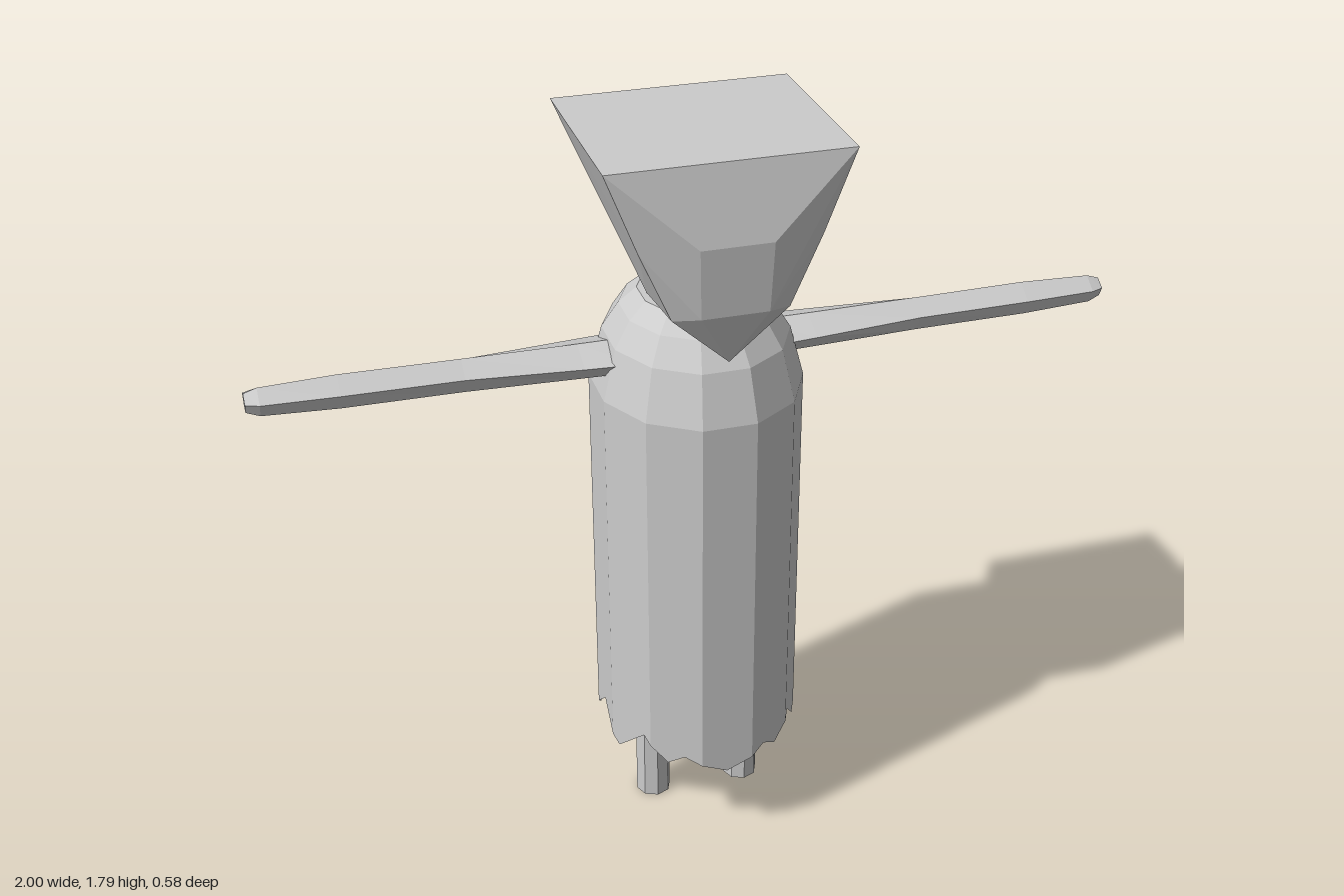
import * as THREE from 'three';
import { ConvexGeometry } from 'three/addons/geometries/ConvexGeometry.js';

const material = new THREE.MeshStandardMaterial({
  color: 0xcccccc, flatShading: true, side: THREE.DoubleSide,
});

// Skin a list of equal-length rings of [x, y, z]; optionally close the last ring.
function loft(rings, capEnd) {
  const n = rings[0].length;
  const positions = rings.flat(2);
  const index = [];
  for (let r = 0; r < rings.length - 1; r++) {
    for (let i = 0; i < n; i++) {
      const a = r * n + i, b = r * n + (i + 1) % n;
      index.push(a, b, b + n, a, b + n, a + n);
    }
  }
  if (capEnd) {
    const base = (rings.length - 1) * n;
    for (let i = 1; i < n - 1; i++) index.push(base, base + i, base + i + 1);
  }
  const g = new THREE.BufferGeometry();
  g.setAttribute('position', new THREE.Float32BufferAttribute(positions, 3));
  g.setIndex(index);
  const flat = g.toNonIndexed();
  flat.computeVertexNormals();
  return flat;
}

// Ragged hem: [degrees from the front, height], the same on both sides.
const HEM = [[0, 0.22], [25, 0.265], [35, 0.24], [50, 0.3], [70, 0.22], [90, 0.3],
  [110, 0.22], [130, 0.28], [145, 0.22], [155, 0.26], [165, 0.24], [180, 0.29]];

function hemHeight(deg) {
  const d = deg > 180 ? 360 - deg : deg;
  const i = Math.max(1, HEM.findIndex((p) => p[0] >= d));
  const [d0, y0] = HEM[i - 1], [d1, y1] = HEM[i];
  return y0 + (y1 - y0) * (d - d0) / (d1 - d0);
}

// Twelve-sided oval ring with a flat side at the front, sampled every 5 degrees.
function bodyRing(scale, height) {
  const ring = [];
  for (let deg = 0; deg < 360; deg += 5) {
    const a = THREE.MathUtils.degToRad(deg);
    const off = THREE.MathUtils.degToRad(((deg + 15) % 30) - 15);
    const r = scale * Math.cos(Math.PI / 12) / Math.cos(off);
    const y = typeof height === 'function' ? height(deg) : height;
    ring.push([0.004 + 0.242 * r * Math.sin(a), y, -0.025 + 0.272 * r * Math.cos(a)]);
  }
  return ring;
}

// Five-sided arm section, narrowing towards the hand; side is +1 or -1.
function armRing(side, x, zBack, zFront, yLow, yHigh) {
  const mid = (yLow + yHigh) / 2, zc = -0.025;
  const ring = [
    [side * x, yHigh, zc],
    [side * x, mid + 0.004, zFront],
    [side * x, yLow, zc + (zFront - zc) * 0.55],
    [side * x, yLow, zc + (zBack - zc) * 0.5],
    [side * x, mid + 0.004, zBack],
  ];
  return side > 0 ? ring : ring.reverse();
}

export function createModel() {
  const model = new THREE.Group();
  const add = (name, geometry) => {
    const mesh = new THREE.Mesh(geometry, material);
    mesh.name = name;
    model.add(mesh);
    return mesh;
  };

  // Robe with ragged hem and rounded shoulders
  add('robe', loft([
    bodyRing(1, hemHeight), bodyRing(1, 1.17), bodyRing(0.87, 1.29),
    bodyRing(0.71, 1.35), bodyRing(0.54, 1.387),
  ], true));

  for (const side of [1, -1]) {
    const prefix = side > 0 ? 'left' : 'right';

    // Outstretched arm
    add(prefix + 'Arm', loft([
      armRing(side, 0.15, -0.115, 0.055, 1.218, 1.285),
      armRing(side, 0.27, -0.105, 0.045, 1.218, 1.285),
      armRing(side, 0.53, -0.08, 0.02, 1.218, 1.287),
      armRing(side, 0.8, -0.075, 0.02, 1.22, 1.29),
      armRing(side, 0.97, -0.07, 0.013, 1.226, 1.284),
      armRing(side, 1.0, -0.06, 0.0, 1.235, 1.274),
    ], true));

    // Leg
    const leg = add(prefix + 'Leg', new THREE.CylinderGeometry(0.043, 0.043, 0.5, 8));
    leg.position.set(0.004 + side * 0.115, 0.25, -0.02);
  }

  // Faceted wedge head, one half mirrored
  const half = [
    [0.27, 1.79, 0.25], [0.27, 1.79, -0.205],
    [0.2, 1.61, 0.25], [0.08, 1.62, 0.29],
    [0.13, 1.45, 0.248], [0.075, 1.46, 0.28], [0, 1.33, 0.235],
    [0.11, 1.39, -0.02], [0.06, 1.39, -0.105],
    [0.2, 1.62, -0.15], [0.09, 1.565, -0.24], [0.09, 1.63, -0.24],
  ];
  const points = half.flatMap(([x, y, z]) => (x === 0
    ? [new THREE.Vector3(x, y, z)]
    : [new THREE.Vector3(x, y, z), new THREE.Vector3(-x, y, z)]));
  add('head', new ConvexGeometry(points));

  return model;
}
